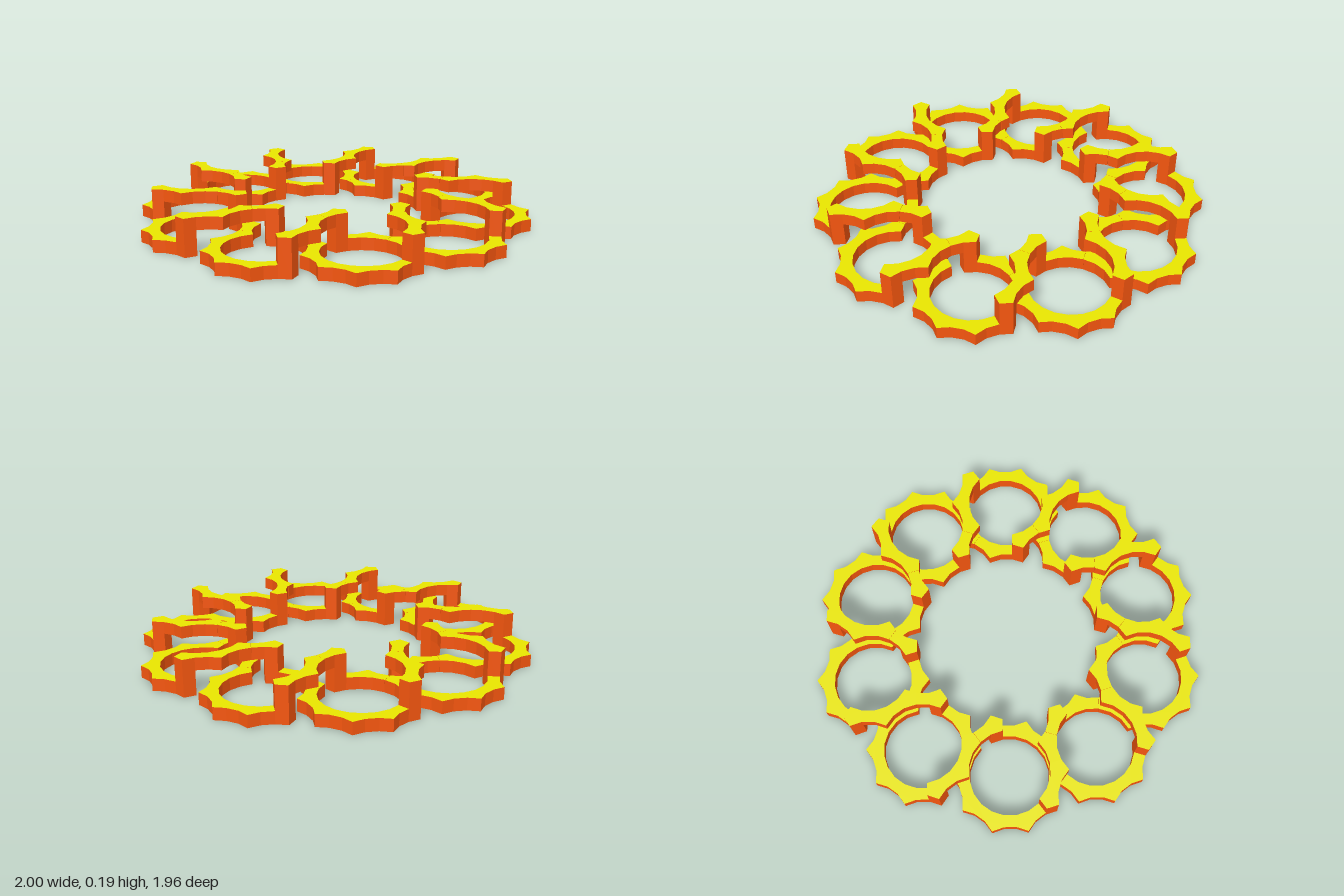
import * as THREE from 'three';

const RINGS = 10;
const CIRCLE = 0.727;          // radius on which the ring centres sit
const HOLE = 0.198, TIP = 0.2873, VALLEY = 0.2556;
const LAYER = 0.062;           // thickness of one level; the weave is three levels high

const polar = (r, deg) => {
  const a = THREE.MathUtils.degToRad(deg);
  return new THREE.Vector2(r * Math.cos(a), r * Math.sin(a));
};

// Sector of the scalloped ring between two hole corners (degrees, 0 = away from the middle)
function sectorShape(from, to) {
  const points = [];
  for (let valley = -144; valley <= 216; valley += 36) {
    for (const [offset, r] of [[-7, VALLEY], [7, VALLEY], [18, TIP]]) {
      const a = valley + offset;
      if (a > from - 3 && a < to + 3) points.push(polar(r, a));
    }
  }
  for (let a = to; a >= from; a -= 18) points.push(polar(HOLE, a));
  return new THREE.Shape(points);
}

// Raised sector; upward faces get the second material
function sector(from, to, bottom, height) {
  const geo = new THREE.ExtrudeGeometry(sectorShape(from, to), { depth: height, bevelEnabled: false });
  const caps = geo.groups[0].count;
  const sides = geo.groups[1].count;
  geo.clearGroups();
  geo.addGroup(0, caps / 2, 0);
  geo.addGroup(caps / 2, caps / 2, 1);
  geo.addGroup(caps, sides, 0);
  geo.rotateX(-Math.PI / 2);
  geo.translate(0, bottom, 0);
  return geo;
}

export function createModel() {
  const model = new THREE.Group();
  model.name = 'wovenRingWreath';
  const materials = [
    new THREE.MeshStandardMaterial({ color: 0xf5560f }),
    new THREE.MeshStandardMaterial({ color: 0xe9e600 }),
  ];

  // Two strands weave through each ring: the outer one rises to cross over
  // into the next ring, the inner one comes down from the previous crossing
  const top = LAYER * 2;
  const parts = {
    outerLowerArc: sector(-135, 45, 0, LAYER),
    outerPost: sector(45, 63, 0, LAYER * 3),
    outerBridge: sector(63, 135, top, LAYER),
    innerLowerArc: sector(135, 189, 0, LAYER),
    innerPost: sector(189, 207, 0, LAYER * 3),
    innerBridge: sector(207, 225, top, LAYER),
  };

  for (let i = 0; i < RINGS; i++) {
    const angle = (i / RINGS) * Math.PI * 2;
    const ring = new THREE.Group();
    ring.name = `ring${i + 1}`;
    ring.position.set(CIRCLE * Math.cos(angle), 0, -CIRCLE * Math.sin(angle));
    ring.rotation.y = angle;
    for (const [name, geo] of Object.entries(parts)) {
      const mesh = new THREE.Mesh(geo, materials);
      mesh.name = name;
      ring.add(mesh);
    }
    model.add(ring);
  }
  return model;
}
